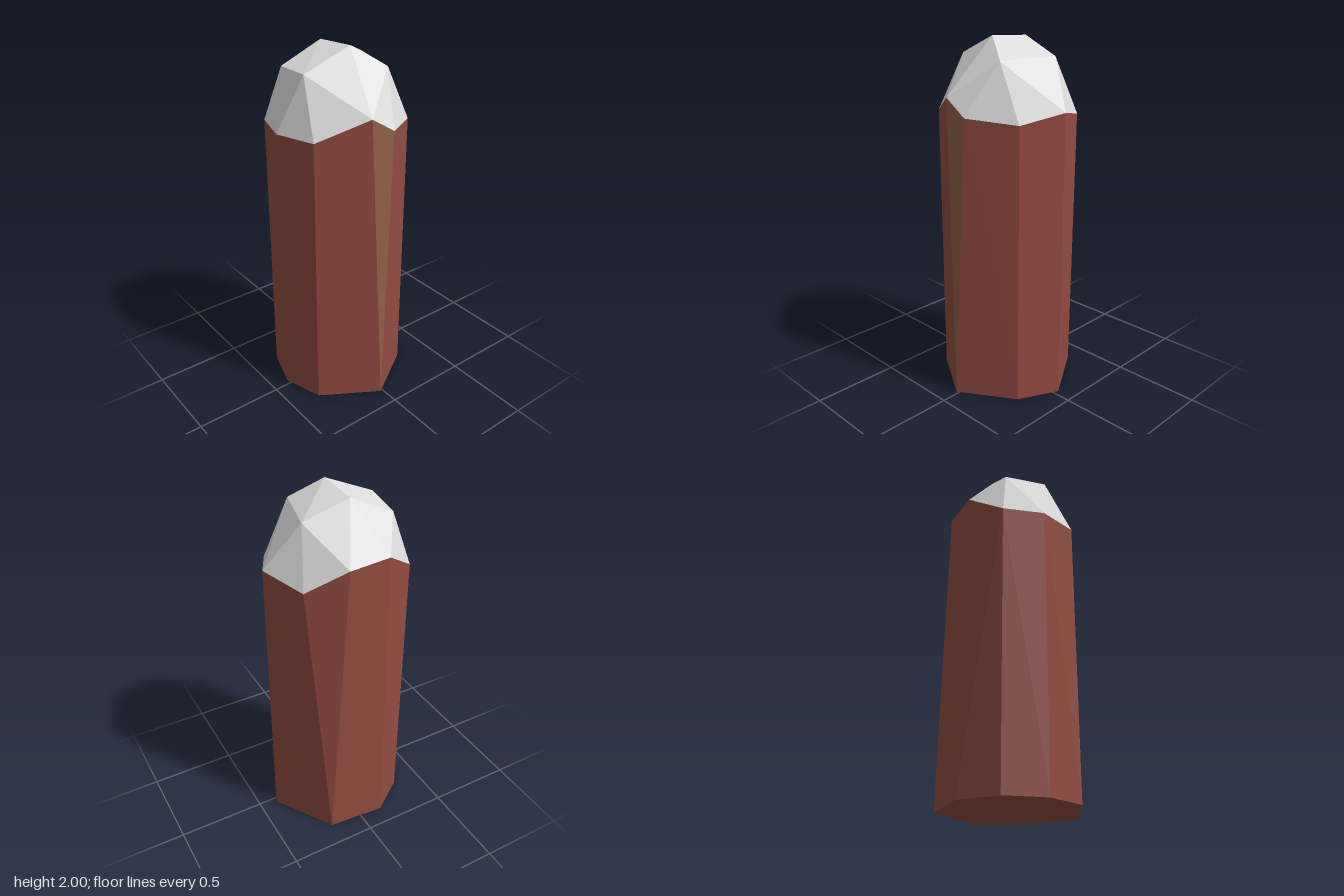
import * as THREE from 'three';

const makeMaterial = (name, color) => {
  const m = new THREE.MeshStandardMaterial({ color, flatShading: true });
  m.name = name;
  return m;
};

// Flat-shaded mesh from a list of triangles (each three Vector3 corners)
function facetMesh(name, triangles, material) {
  const geometry = new THREE.BufferGeometry().setFromPoints(triangles.flat());
  geometry.computeVertexNormals();
  const mesh = new THREE.Mesh(geometry, material);
  mesh.name = name;
  return mesh;
}

// Splits a quad along the diagonal that keeps the surface convex
function quad(a, b, c, d) {
  const normal = b.clone().sub(a).cross(d.clone().sub(a));
  return c.clone().sub(a).dot(normal) <= 0
    ? [[a, b, d], [b, c, d]]
    : [[a, b, c], [a, c, d]];
}

export function createModel() {
  const red = makeMaterial('red casing', 0x914b40);
  const brown = makeMaterial('brown chip', 0x916047);
  const white = makeMaterial('pale tip', 0xdedede);
  const V = (x, y, z) => new THREE.Vector3(x, y, z);

  // Foot outline, counterclockwise from the right-hand side
  const foot = [
    [-0.4, -0.03], [-0.33, 0.195], [-0.015, 0.39], [0.29, 0.195],
    [0.4, -0.03], [0.19, -0.367], [-0.135, -0.395], [-0.33, -0.255],
  ].map(([x, z]) => V(x, 0, z));

  // Uneven rim where the casing meets the tip
  const rim = [
    [-0.4, 1.585, -0.03], [-0.33, 1.585, 0.195], [-0.085, 1.7, 0.347],
    [0.055, 1.612, 0.353], [0.29, 1.585, 0.195], [0.4, 1.635, -0.03],
    [0.29, 1.585, -0.255], [0.1, 1.715, -0.375], [-0.13, 1.728, -0.37],
    [-0.33, 1.585, -0.255],
  ].map((p) => V(...p));

  // Casing: rim edges 2 and 6 come down to a single foot corner
  const sides = [], chip = [], base = [];
  let f = 0;
  rim.forEach((r, i) => {
    const rNext = rim[(i + 1) % rim.length];
    const a = foot[f % foot.length];
    if (i === 2) chip.push([a, rNext, r]);
    else if (i === 6) sides.push([a, rNext, r]);
    else sides.push(...quad(a, foot[++f % foot.length], rNext, r));
  });
  for (let i = 1; i < foot.length - 1; i++) base.push([foot[0], foot[i + 1], foot[i]]);

  // Faceted tip: crown corners joined to the rim (digits are rim corners)
  const corner = {
    A: V(-0.25, 1.875, -0.195), B: V(-0.015, 1.985, -0.17), C: V(0.23, 1.895, -0.135),
    D: V(-0.28, 1.89, 0.05), E: V(-0.015, 2, 0.083), F: V(0.145, 1.89, 0.187),
  };
  rim.forEach((r, i) => { corner[i] = r; });
  const tip = 'D01 D12 D2E E2F F23 F34 F45 F5C EFC ECB C56 C67 BC7 B78 AB8 A89 A90 A0D DEB DBA'
    .split(' ').map((t) => [...t].map((k) => corner[k]));

  const model = new THREE.Group();
  model.name = 'facetedPost';
  model.add(
    facetMesh('casing', sides, red),
    facetMesh('base', base, red),
    facetMesh('frontChip', chip, brown),
    facetMesh('tip', tip, white),
  );
  return model;
}
